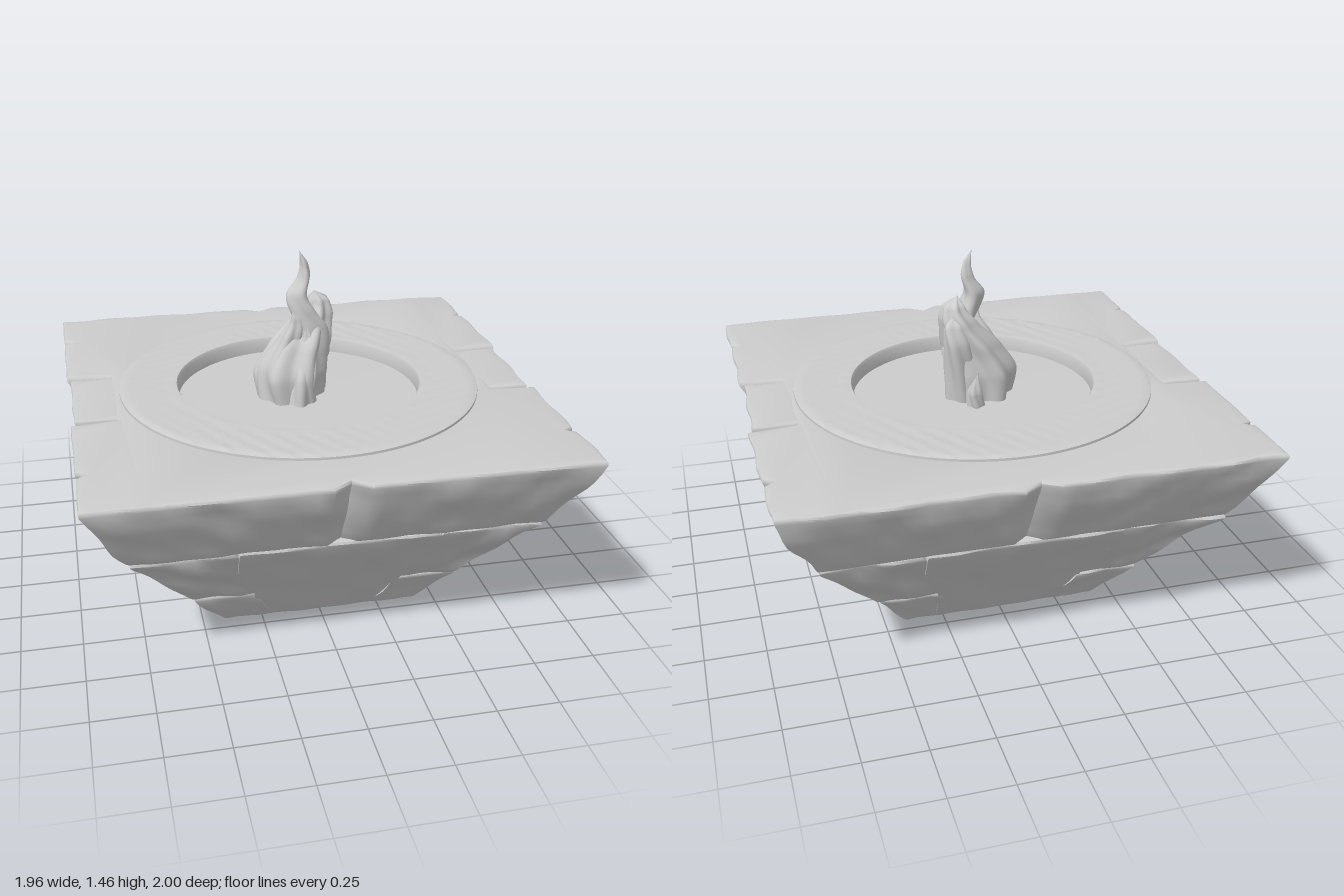
import * as THREE from 'three';
import { mergeVertices, toCreasedNormals } from 'three/addons/utils/BufferGeometryUtils.js';
import { ParametricGeometry } from 'three/addons/geometries/ParametricGeometry.js';

const grey = new THREE.MeshStandardMaterial({ color: 0xcccccc });

// Piecewise-linear lookup in a list of [y, value]
function lookup(table, y) {
  let i = 1;
  while (i < table.length - 1 && y > table[i][0]) i++;
  const [y0, a] = table[i - 1], [y1, b] = table[i];
  return a + (b - a) * THREE.MathUtils.clamp((y - y0) / (y1 - y0), 0, 1);
}

// Half width (x) and half depth (z) of the flared body at height y
const halfX = (y) => lookup([[0, 0.395], [0.2, 0.55], [0.53, 0.81], [0.87, 0.985]], y);
const halfZ = (y) => lookup([[0, 0.445], [0.2, 0.58], [0.53, 0.82], [0.75, 0.95], [0.87, 1]], y);

// Gentle unevenness of worn stone
const wobble = (a, b, c) => Math.sin(a * 17 + b * 5) * Math.sin(b * 23 + c * 9) * Math.cos(c * 13 + a * 7);

// Break long outline edges into short ones so they can be worn down
function densify(pts, step = 0.06) {
  const out = [];
  pts.forEach(([x, z], i) => {
    const [nx, nz] = pts[(i + 1) % pts.length];
    const n = Math.max(1, Math.round(Math.hypot(nx - x, nz - z) / step));
    for (let k = 0; k < n; k++) out.push(new THREE.Vector2(x + (nx - x) * k / n, z + (nz - z) * k / n));
  });
  return out;
}

const rect = (x0, x1, z0, z1) => [[x0, z0], [x1, z0], [x1, z1], [x0, z1]];

// A stone: its plan at the top, extruded with rounded edges and flared to the body.
// fx and fz narrow it further by height.
function stone(name, plan, y0, y1, { bevel = 0.03, hole = 0, wear = 0.012, fx = () => 1, fz = () => 1 } = {}) {
  const shape = new THREE.Shape(densify(plan.map(([x, z]) => [x, -z])));
  if (hole) shape.holes.push(new THREE.Path().absarc(0, 0, hole, 0, Math.PI * 2, true));
  let g = new THREE.ExtrudeGeometry(shape, {
    depth: y1 - y0 - 2 * bevel, steps: 8, curveSegments: 32,
    bevelThickness: bevel, bevelSize: bevel, bevelOffset: -bevel, bevelSegments: 3,
  });
  g.rotateX(-Math.PI / 2).translate(0, y0 + bevel, 0);
  const p = g.attributes.position;
  for (let i = 0; i < p.count; i++) {
    const x = p.getX(i), y = p.getY(i), z = p.getZ(i);
    const k = 1 + wear * wobble(x, y, z);
    p.setXYZ(i, x * k * fx(y) * halfX(y) / halfX(y1), y, z * k * fz(y) * halfZ(y) / halfZ(y1));
  }
  g.deleteAttribute('uv');
  g = toCreasedNormals(g, 0.75);
  const mesh = new THREE.Mesh(g, grey);
  mesh.name = name;
  return mesh;
}

// A twisting tongue of fire through points [x, y, z, radius]
function tongue(name, pts, lobes = 4, twist = 5, depth = 0.15) {
  const path = new THREE.CatmullRomCurve3(pts.map(([x, y, z]) => new THREE.Vector3(x, y, z)));
  const n = pts.length - 1, c = new THREE.Vector3();
  const g = new ParametricGeometry((u, v, target) => {
    path.getPoint(v, c);
    const i = Math.min(n - 1, Math.floor(v * n)), f = v * n - i;
    const s = THREE.MathUtils.lerp(f, f * f * (3 - 2 * f), 0.5);
    const a = u * Math.PI * 2;
    const r = THREE.MathUtils.lerp(pts[i][3], pts[i + 1][3], s) * (1 + depth * Math.cos(lobes * a + twist * v));
    target.set(c.x + Math.cos(a) * r, c.y, c.z - Math.sin(a) * r);
  }, 48, 40);
  g.deleteAttribute('uv');
  g.deleteAttribute('normal');
  const welded = mergeVertices(g, 1e-4);
  welded.computeVertexNormals();
  const mesh = new THREE.Mesh(welded, grey);
  mesh.name = name;
  return mesh;
}

export function createModel() {
  const model = new THREE.Group();
  const masonry = new THREE.Group();
  masonry.name = 'masonry';
  model.add(masonry);

  // Recessed core behind the stones
  masonry.add(stone('core', rect(-0.9, 0.9, -0.92, 0.92), 0, 0.81, { bevel: 0.005, wear: 0 }));

  // Upper course with chipped edges, side recesses and a well in the middle
  const half = [[0, 0.95], [0.07, 1], [0.985, 1], [0.985, 0.72], [0.955, 0.7], [0.985, 0.68],
    [0.985, 0.25], [0.8, 0.23], [0.8, -0.23], [0.985, -0.25],
    [0.985, -0.68], [0.955, -0.7], [0.985, -0.72], [0.985, -1], [0.07, -1]];
  const outline = [...half, ...half.map(([x, z]) => [-x, -z])];
  masonry.add(stone('upperCourse', outline, 0.53, 0.87, { bevel: 0.022, hole: 0.62 }));

  // Corner stones of the two lower courses
  for (const sx of [1, -1]) for (const sz of [1, -1]) {
    const corner = (x0, x1, z0, z1) => rect(x0, x1, z0, z1).map(([x, z]) => [x * sx, z * sz]);
    masonry.add(stone('middleCornerStone', corner(0.41, 0.815, 0.32, 0.825), 0.19, 0.54, { wear: 0.03 }));
    masonry.add(stone('lowerCornerStone', corner(0.29, 0.56, 0.19, 0.585), 0, 0.205, { bevel: 0.02, wear: 0.03 }));
  }

  // Keystones on front and back, narrowing towards the foot
  const keyWidth = (y) =>
    lookup([[0, 0.285], [0.2, 0.3], [0.28, 0.35], [0.4, 0.39], [0.54, 0.4]], y) / 0.4 * halfX(0.54) / halfX(y);
  for (const s of [1, -1]) {
    masonry.add(stone('keystone', rect(-0.4, 0.4, 0.3, 0.835).map(([x, z]) => [x, z * s]), 0, 0.545,
      { bevel: 0.025, fx: keyWidth }));
  }

  // Side stones: tapered block, oval boss, foot block
  const taper = (y) => lookup([[0.56, 0.7], [0.82, 1]], y);
  for (const s of [1, -1]) {
    const side = (x0, x1, w) => rect(x0, x1, -w, w).map(([x, z]) => [x * s, z]);
    masonry.add(stone('sideBlock', side(0.66, 0.968, 0.225), 0.54, 0.868, { bevel: 0.018, fz: taper }));
    masonry.add(stone('sideFootBlock', side(0.2, 0.53, 0.18), 0, 0.19, { bevel: 0.02 }));

    const oval = new THREE.Shape().absellipse(0, 0, 0.33, 0.265, 0, Math.PI * 2);
    let g = new THREE.ExtrudeGeometry(oval, {
      depth: 0.06, curveSegments: 32, bevelThickness: 0.05, bevelSize: 0.06, bevelOffset: -0.06, bevelSegments: 5,
    });
    g.translate(0, 0, -0.095).rotateY(Math.PI / 2).rotateZ(-0.67).translate(0.7, 0.39, 0);
    if (s < 0) g.rotateY(Math.PI);
    const boss = new THREE.Mesh(toCreasedNormals(g, 0.75), grey);
    boss.name = 'ovalBoss';
    masonry.add(boss);
  }

  // Raised, pitted ring around the shallow basin
  const profile = [[0, 0.822], [0.25, 0.82], [0.515, 0.818], [0.515, 0.875], [0.522, 0.887], [0.535, 0.888]];
  for (let i = 1; i <= 8; i++) profile.push([0.535 + i * 0.0265, 0.886]);
  profile.push([0.765, 0.88], [0.767, 0.84]);
  let ring = new THREE.LatheGeometry(profile.map(([r, y]) => new THREE.Vector2(r, y)).reverse(), 128);
  // Profile runs inwards here, so flip each triangle to face up
  const idx = ring.index.array;
  for (let i = 0; i < idx.length; i += 3) [idx[i], idx[i + 1]] = [idx[i + 1], idx[i]];
  const rp = ring.attributes.position;
  for (let i = 0; i < rp.count; i++) {
    const x = rp.getX(i), z = rp.getZ(i), r = Math.hypot(x, z);
    if (r > 0.55 && r < 0.755) rp.setY(i, rp.getY(i) + 0.004 * Math.sin(x * 61 + z * 23) * Math.sin(z * 71 - x * 19));
  }
  // Make sure the top of the basin faces upward
  const v = [0, 1, 2].map((k) => new THREE.Vector3().fromBufferAttribute(rp, idx[60 + k]));
  const up = v[1].clone().sub(v[0]).cross(v[2].clone().sub(v[0])).y;
  if (up < 0) for (let i = 0; i < idx.length; i += 3) [idx[i], idx[i + 1]] = [idx[i + 1], idx[i]];
  ring.deleteAttribute('uv');
  ring = toCreasedNormals(ring, 0.6);
  const basin = new THREE.Mesh(ring, grey);
  basin.name = 'basinRing';
  model.add(basin);

  // Flame in the middle of the basin
  const flame = new THREE.Group();
  flame.name = 'flame';
  flame.add(
    tongue('flameBody', [[-0.03, 0.8, 0, 0.13], [-0.035, 0.93, 0, 0.14], [0.01, 1.05, -0.01, 0.115],
      [0.07, 1.16, -0.03, 0.075], [0.09, 1.23, -0.03, 0.045], [0.07, 1.275, -0.02, 0]], 6, 4, 0.13),
    tongue('flameTip', [[0.04, 1, 0.01, 0.08], [0.055, 1.12, 0.015, 0.06], [0.015, 1.2, 0.02, 0.05],
      [-0.008, 1.27, 0.015, 0.042], [0.022, 1.34, 0.01, 0.027], [0.022, 1.4, 0.01, 0.016], [0, 1.46, 0.01, 0]], 3, 6),
    tongue('leftTongue', [[-0.09, 0.8, 0.03, 0.075], [-0.1, 0.95, 0.02, 0.07], [-0.04, 1.09, 0.03, 0.045],
      [-0.015, 1.17, 0.04, 0.025], [-0.035, 1.225, 0.05, 0]]),
    tongue('rightTongue', [[0.06, 0.8, -0.04, 0.06], [0.07, 0.95, -0.06, 0.06], [0.09, 1.08, -0.08, 0.05],
      [0.1, 1.16, -0.07, 0.04], [0.07, 1.24, -0.05, 0]]),
    tongue('frontTongue', [[-0.02, 0.8, 0.11, 0.05], [0, 0.93, 0.1, 0.05], [0.03, 1.05, 0.06, 0.035], [0.02, 1.17, 0.065, 0]]),
    tongue('backTongue', [[0.02, 0.8, -0.14, 0.035], [0.03, 0.88, -0.15, 0.03], [0.02, 0.98, -0.165, 0]]),
  );
  model.add(flame);
  return model;
}
